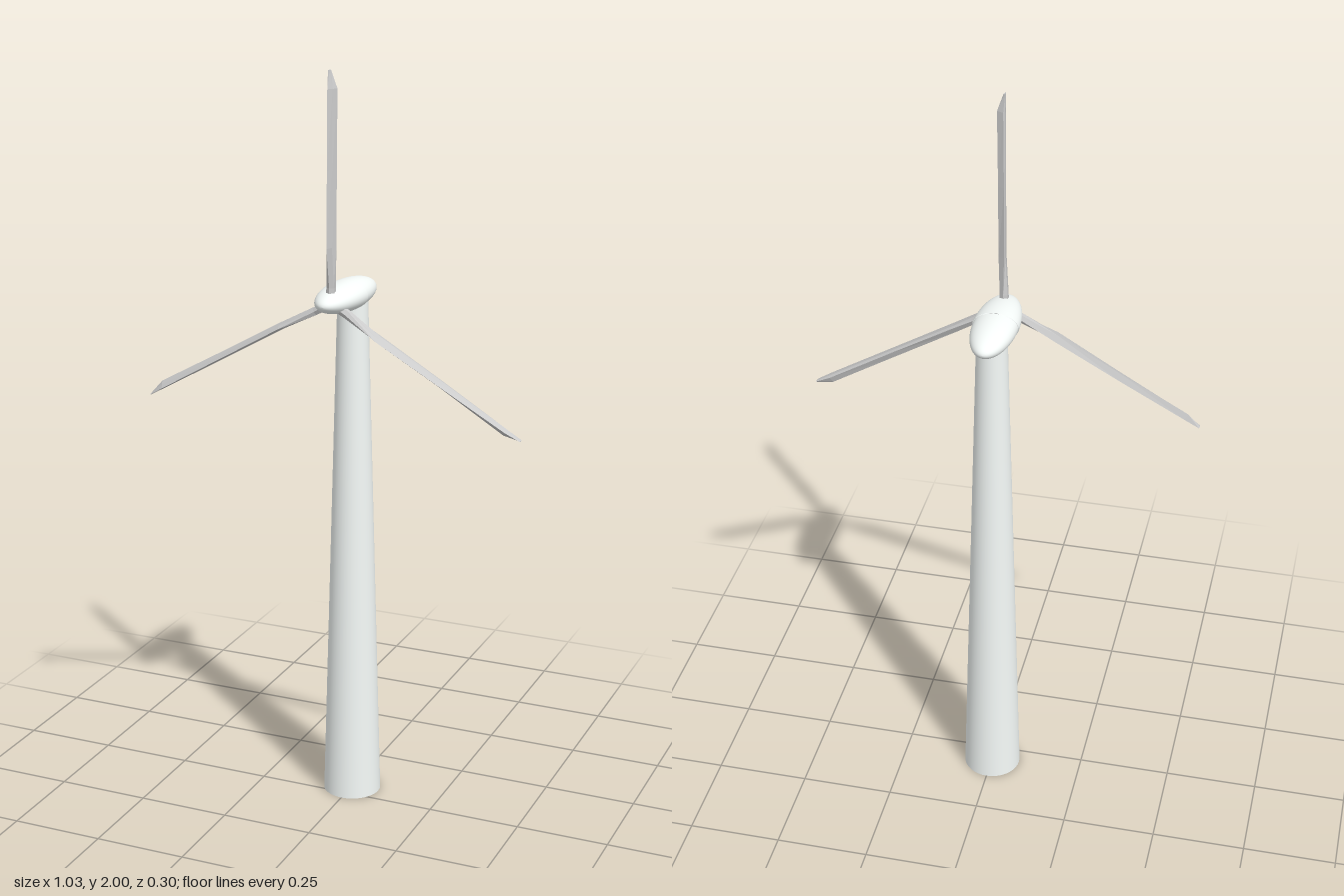
import * as THREE from 'three';

const HUB_Y = 1.416;

// Half of the egg-shaped housing: a lathe about z from the seam to the tip
function shellHalf(seamZ, tipZ, rx, ry) {
  const pts = [];
  const steps = 16;
  for (let i = 0; i <= steps; i++) {
    const a = (i / steps) * Math.PI / 2;
    pts.push(new THREE.Vector2(i === steps ? 0 : Math.cos(a), Math.sin(a)));
  }
  const geo = new THREE.LatheGeometry(pts, 40);
  geo.rotateX(tipZ > seamZ ? Math.PI / 2 : -Math.PI / 2);
  geo.scale(rx, ry, Math.abs(tipZ - seamZ));
  geo.translate(0, 0, seamZ);
  return geo;
}

// Blade section between its front and back edge points [x, z]:
// nearly flat on one side, with a ridge close to the back edge on the other
function foil(y, front, back, thick) {
  const dx = back[0] - front[0], dz = back[1] - front[1];
  const len = Math.hypot(dx, dz);
  const shape = [[0, 0], [0.4, 0.55], [0.75, 1], [1, 0.15], [0.75, -0.06], [0.35, -0.06]];
  return shape.map(([u, t]) => [
    front[0] + dx * u - (dz / len) * t * thick,
    y,
    front[1] + dz * u + (dx / len) * t * thick,
  ]);
}

// Hexagonal blade root
function rootRing(y, r) {
  return Array.from({ length: 6 }, (_, k) => {
    const a = k * Math.PI / 3;
    return [r * Math.sin(a), y, 0.094 + r * Math.cos(a)];
  });
}

// Skin the sections, from root to tip, and close both ends
function bladeGeometry() {
  const rings = [
    rootRing(0.01, 0.013),
    rootRing(0.04, 0.012),
    foil(0.145, [0.002, 0.127], [-0.004, 0.084], 0.017),
    foil(0.34, [0.002, 0.123], [-0.003, 0.087], 0.018),
    foil(0.54, [0.002, 0.119], [0, 0.091], 0.019),
    foil(0.585, [0.001, 0.112], [0, 0.097], 0.004),
  ];
  const n = 6, index = [];
  for (let i = 0; i < rings.length - 1; i++) {
    for (let j = 0; j < n; j++) {
      const a = i * n + j, b = i * n + (j + 1) % n;
      index.push(a, b, b + n, a, b + n, a + n);
    }
  }
  const last = (rings.length - 1) * n;
  for (let j = 1; j < n - 1; j++) {
    index.push(0, j + 1, j, last, last + j, last + j + 1);
  }
  const geo = new THREE.BufferGeometry();
  geo.setAttribute('position', new THREE.Float32BufferAttribute(rings.flat(2), 3));
  geo.setIndex(index);
  geo.computeVertexNormals();
  return geo;
}

export function createModel() {
  const model = new THREE.Group();
  model.name = 'windTurbine';
  const white = new THREE.MeshStandardMaterial({ color: 0xf5faf8, side: THREE.DoubleSide });
  const grey = new THREE.MeshStandardMaterial({ color: 0xc0c0c0, flatShading: true });

  const add = (parent, name, geo, mat) => {
    const mesh = new THREE.Mesh(geo, mat);
    mesh.name = name;
    parent.add(mesh);
    return mesh;
  };

  // Tapered tower, set behind the rotor
  const tower = add(model, 'tower', new THREE.CylinderGeometry(0.04, 0.078, 1.4, 40), white);
  tower.position.set(0, 0.7, -0.046);

  // Housing behind the seam
  const nacelle = add(model, 'nacelle', shellHalf(-0.005, -0.151, 0.058, 0.037), white);
  nacelle.position.y = HUB_Y;

  // Rotor: nose cone and three blades, the lower two set slightly further out
  const rotor = new THREE.Group();
  rotor.name = 'rotor';
  rotor.position.y = HUB_Y;
  add(rotor, 'noseCone', shellHalf(-0.005, 0.148, 0.06, 0.038), white);
  const blade = bladeGeometry();
  for (let i = 0; i < 3; i++) {
    const mesh = add(rotor, 'blade' + (i + 1), blade, grey);
    mesh.rotation.z = i * Math.PI * 2 / 3;
    mesh.translateY(i === 0 ? 0 : 0.01);
  }
  model.add(rotor);
  return model;
}
